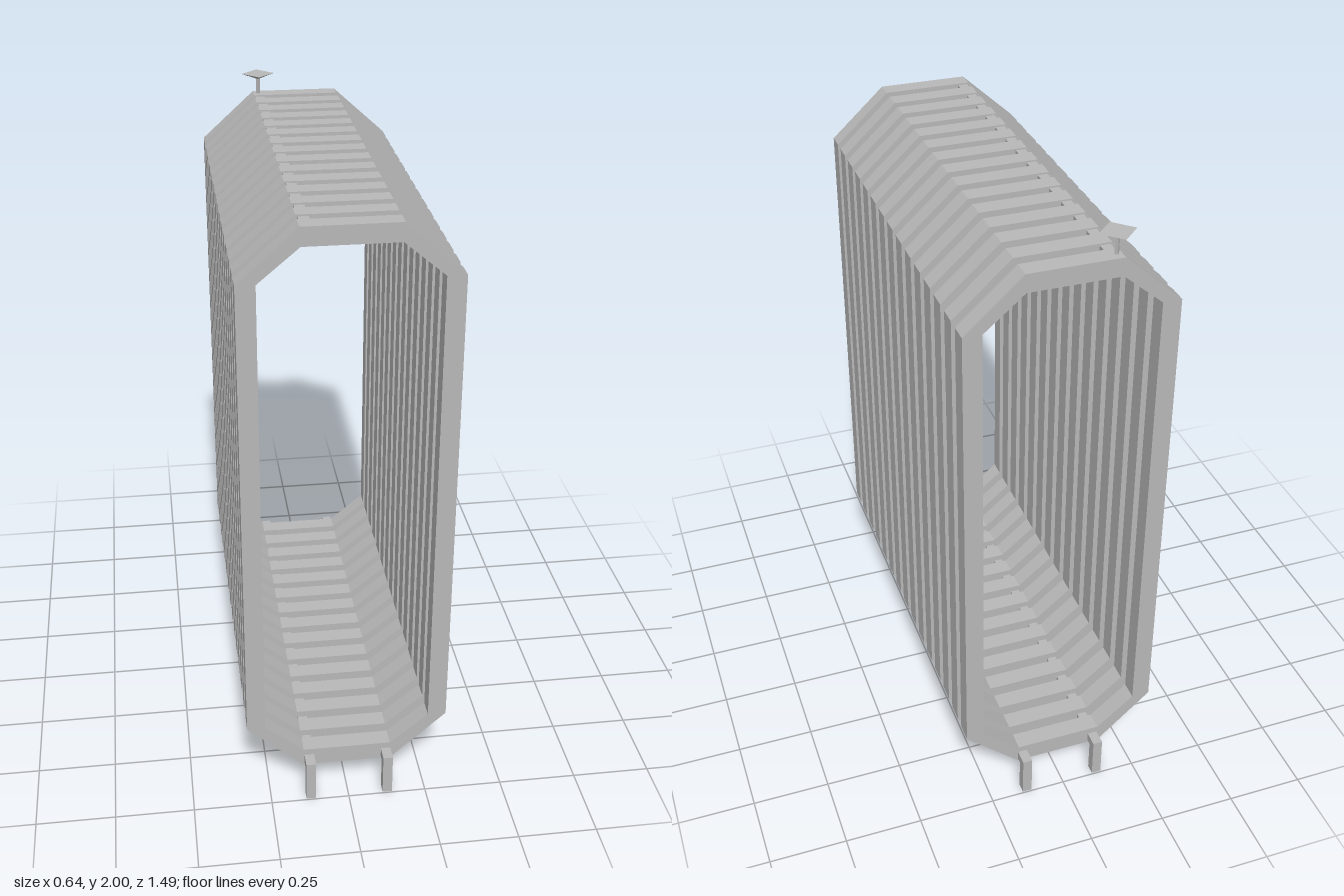
import * as THREE from 'three';

const steel = new THREE.MeshStandardMaterial({ color: 0xb8b8b8 });
steel.name = 'grey steel';

// Elongated octagon: flat half width, half width, and the four heights
function octagon(PathType, flat, half, y0, y1, y2, y3) {
  const path = new PathType();
  path.setFromPoints([
    [-flat, y0], [flat, y0], [half, y1], [half, y2],
    [flat, y3], [-flat, y3], [-half, y2], [-half, y1],
  ].map(([x, y]) => new THREE.Vector2(x, y)));
  path.closePath();
  return path;
}

export function createModel() {
  const model = new THREE.Group();
  model.name = 'radiator';

  const add = (name, geometry, x, y, z) => {
    const mesh = new THREE.Mesh(geometry, steel);
    mesh.name = name;
    mesh.position.set(x, y, z);
    model.add(mesh);
    return mesh;
  };
  const box = (name, x, y0, y1, z0, z1, w = 0.031) =>
    add(name, new THREE.BoxGeometry(w, y1 - y0, z1 - z0), x, (y0 + y1) / 2, (z0 + z1) / 2);

  // Row of hollow octagonal ribs
  const count = 15, depth = 0.059, reach = 0.695;
  const shape = octagon(THREE.Shape, 0.143, 0.32, 0.1, 0.262, 1.772, 1.932);
  shape.holes.push(octagon(THREE.Path, 0.14, 0.262, 0.16, 0.262, 1.772, 1.875));
  const ribGeometry = new THREE.ExtrudeGeometry(shape, { depth, bevelEnabled: false });
  const step = (2 * reach - depth) / (count - 1);
  for (let i = 0; i < count; i++) add('rib', ribGeometry, 0, 0, -reach + i * step);

  // Pipes joining the ribs at top and bottom
  box('topPipe', -0.122, 1.9, 1.927, -0.68, 0.68);
  box('bottomPipe', -0.122, 0.108, 0.139, -0.72, 0.72);

  // Feet, each on an arm from an end rib
  for (const x of [-0.122, 0.127]) {
    for (const s of [-1, 1]) {
      const z = s * 0.729;
      box('foot', x, 0, 0.139, z - 0.016, z + 0.016);
      if (x > 0) {
        const a = s * 0.66, b = s * 0.715;
        box('footArm', x, 0.108, 0.139, Math.min(a, b), Math.max(a, b));
      }
    }
  }

  // Valve with a square, downward-tapering handle
  const valve = (name, rTop, rBottom, y0, y1) => {
    const geometry = new THREE.CylinderGeometry(rTop, rBottom, y1 - y0, 4).toNonIndexed();
    geometry.computeVertexNormals();
    add(name, geometry, -0.127, (y0 + y1) / 2, -0.667);
  };
  valve('valveStem', 0.007, 0.007, 1.92, 1.99);
  valve('valveHandle', 0.056, 0.008, 1.983, 2.0);

  return model;
}
